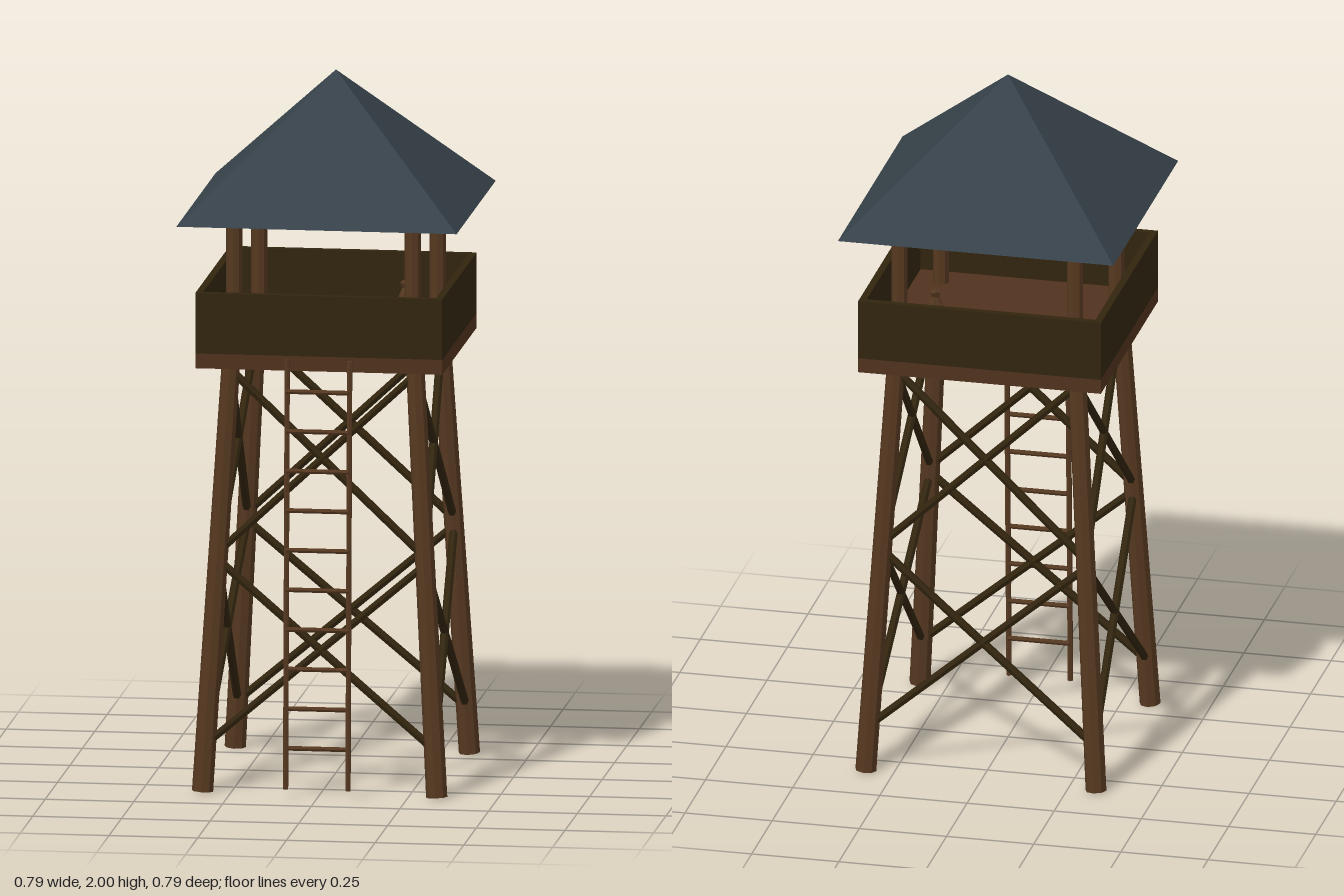
import * as THREE from 'three';

const mat = (name, color) => {
  const m = new THREE.MeshStandardMaterial({ color, flatShading: true });
  m.name = name;
  return m;
};

export function createModel() {
  const model = new THREE.Group();
  model.name = 'watchtower';
  const timber = mat('timber brown', 0x553820);
  const plank = mat('plank brown', 0x50321d);
  const dark = mat('dark wood', 0x32250f);
  const slate = mat('slate', 0x364149);
  const V = (x, y, z) => new THREE.Vector3(x, y, z);

  const add = (parent, name, geo, material, x = 0, y = 0, z = 0) => {
    const m = new THREE.Mesh(geo, material);
    m.name = name;
    m.position.set(x, y, z);
    parent.add(m);
    return m;
  };
  // Round pole running from a to b
  const pole = (parent, name, a, b, rA, rB, sides, material) => {
    const d = b.clone().sub(a);
    const m = add(parent, name, new THREE.CylinderGeometry(rB, rA, d.length(), sides), material);
    m.position.copy(a).add(b).multiplyScalar(0.5);
    m.quaternion.setFromUnitVectors(V(0, 1, 0), d.normalize());
    return m;
  };

  // Splayed legs and upright roof posts at the four corners
  const spread = y => 0.33 - 0.058 * y;
  for (const sx of [-1, 1]) for (const sz of [-1, 1]) {
    const lo = spread(0), hi = spread(1.22);
    pole(model, 'leg', V(sx * lo, 0.003, sz * lo), V(sx * hi, 1.22, sz * hi), 0.03, 0.026, 8, timber);
    pole(model, 'roofPost', V(sx * 0.252, 1.23, sz * 0.252), V(sx * 0.252, 1.63, sz * 0.252), 0.023, 0.023, 8, timber);
  }

  // Each side: two crossed pairs of braces and a parapet wall
  for (let i = 0; i < 4; i++) {
    const side = new THREE.Group();
    side.name = 'towerSide';
    side.rotation.y = i * Math.PI / 2;
    for (const [y0, y1] of [[0.135, 0.655], [0.677, 1.19]]) for (const s of [-1, 1]) {
      pole(side, 'brace', V(-s * spread(y0), y0, spread(y0)), V(s * spread(y1), y1, spread(y1)), 0.012, 0.012, 6, dark);
    }
    add(side, 'parapet', new THREE.BoxGeometry(0.696, 0.172, 0.02), dark, 0, 1.336, 0.338);
    model.add(side);
  }

  // Platform and pyramid roof
  add(model, 'platform', new THREE.BoxGeometry(0.696, 0.042, 0.696), plank, 0, 1.229, 0);
  const roofGeo = new THREE.ConeGeometry(0.395 * Math.SQRT2, 0.382, 4).rotateY(Math.PI / 4);
  add(model, 'roof', roofGeo, slate, 0, 1.809, 0);

  // Ladder leaning on the front
  const ladder = new THREE.Group();
  ladder.name = 'ladder';
  for (const s of [-1, 1]) {
    pole(ladder, 'ladderRail', V(s * 0.088, 0.025, 0.387), V(s * 0.088, 1.24, 0.353), 0.008, 0.008, 6, timber);
  }
  for (let i = 0; i < 10; i++) {
    const y = 0.14 + i * 0.1127;
    pole(ladder, 'rung', V(-0.088, y, 0.377), V(0.088, y, 0.377), 0.007, 0.007, 6, timber);
  }
  model.add(ladder);

  // Small fire pit on the platform: ring of stones around leaning logs
  const pit = new THREE.Group();
  pit.name = 'firePit';
  pit.position.set(0.18, 1.25, -0.12);
  for (let i = 0; i < 7; i++) {
    const a = i / 7 * Math.PI * 2;
    const stone = add(pit, 'stone', new THREE.DodecahedronGeometry(0.024), slate, Math.cos(a) * 0.06, 0.02, Math.sin(a) * 0.06);
    stone.rotation.set(i, i * 2, 0);
  }
  for (let i = 0; i < 4; i++) {
    const a = i / 4 * Math.PI * 2 + 0.4;
    const c = Math.cos(a), s = Math.sin(a);
    pole(pit, 'log', V(c * 0.045, 0.005, s * 0.045), V(-c * 0.008, 0.13, -s * 0.008), 0.014, 0.01, 6, timber);
  }
  model.add(pit);

  return model;
}
